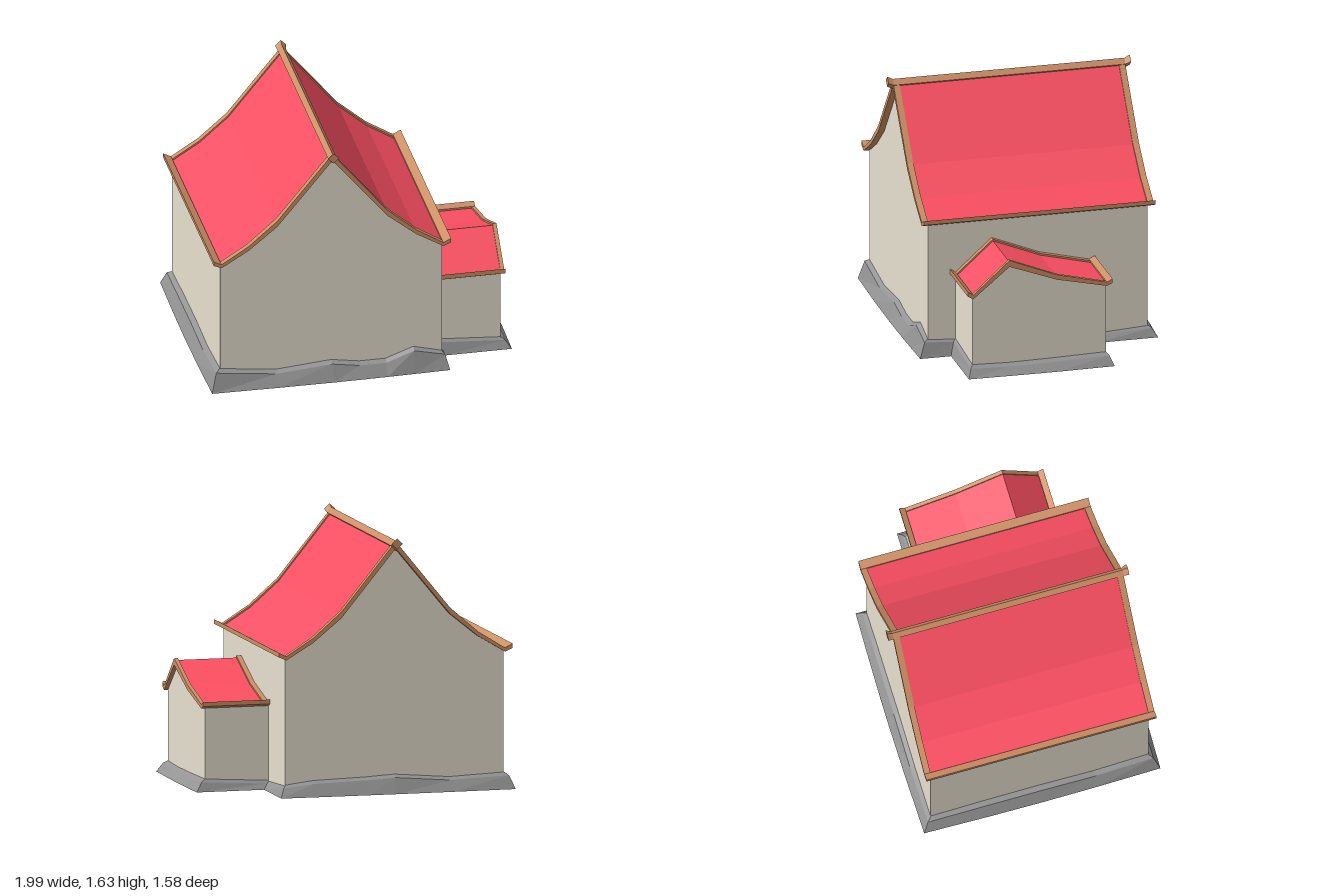
import * as THREE from 'three';

const mat = (color) => new THREE.MeshStandardMaterial({ color, flatShading: true });
const WALL = mat(0xe8e1d0), ROOF = mat(0xff5063), TRIM = mat(0xcd9066), STONE = mat(0x949494);

function add(parent, name, geometry, material) {
  const mesh = new THREE.Mesh(geometry, material);
  mesh.name = name;
  parent.add(mesh);
}

// Extrudes an outline of [u, y] points from w0 to w1 along local z
function prism(points, w0, w1) {
  const shape = new THREE.Shape(points.map(([u, y]) => new THREE.Vector2(u, y)));
  const g = new THREE.ExtrudeGeometry(shape, { depth: w1 - w0, bevelEnabled: false });
  return g.translate(0, 0, w0);
}

// Band between two polylines that run in the same direction
const band = (lower, upper) => [...lower, ...[...upper].reverse()];

// Mesh of rings lofted in order; every ring holds equally many [x, y, z] points
function loft(rings, caps) {
  const n = rings[0].length, index = [];
  for (let r = 0; r < rings.length - 1; r++)
    for (let i = 0; i < n; i++) {
      const a = r * n + i, b = r * n + (i + 1) % n;
      index.push(a, b, b + n, a, b + n, a + n);
    }
  index.push(...caps);
  const g = new THREE.BufferGeometry();
  g.setAttribute('position', new THREE.Float32BufferAttribute(rings.flat(2), 3));
  g.setIndex(index);
  const flat = g.toNonIndexed();
  flat.computeVertexNormals();
  return flat;
}

// House block: walls, sunken roof covering, verge boards and upturned eaves.
// profile rows are [u, underside y, top y]; verges are [w0, w1] ranges.
function block(name, profile, walls, verges) {
  const group = new THREE.Group();
  group.name = name;
  const low = profile.map(([u, y]) => [u, y]);
  const high = profile.map(([u, , y]) => [u, y]);
  const lowIn = low.slice(1, -1);
  const cover = high.slice(1, -1).map(([u, y]) => [u, y - 0.012]);
  const [uA, uB] = [lowIn[0][0], lowIn.at(-1)[0]];
  add(group, 'walls', prism([[uA, 0.02], [uB, 0.02], ...[...lowIn].reverse()], ...walls), WALL);
  const [r0, r1] = [verges[0][1], verges[1][0]];
  add(group, 'roofCovering', prism(band(lowIn, cover), r0, r1), ROOF);
  verges.forEach((v) => add(group, 'vergeBoard', prism(band(low, high), ...v), TRIM));
  add(group, 'eave', prism(band(low.slice(0, 2), high.slice(0, 2)), r0, r1), TRIM);
  add(group, 'eave', prism(band(low.slice(-2), high.slice(-2)), r0, r1), TRIM);
  return group;
}

// Ridge beam: diamond section with upswept ends
function ridgeBeam() {
  const ring = (z, half, y0, y1) => {
    const m = (y0 + y1) / 2;
    return [[0, y0, z], [half, m, z], [0, y1, z], [-half, m, z]]
      .map(([x, y, d]) => [x - 0.21, y, d]);
  };
  const rings = [
    ring(-0.79, 0.036, 1.56, 1.628), ring(-0.755, 0.028, 1.545, 1.61),
    ring(0.755, 0.028, 1.545, 1.61), ring(0.79, 0.036, 1.56, 1.628),
  ];
  return loft(rings, [0, 2, 1, 0, 3, 2, 12, 13, 14, 12, 14, 15]);
}

// Uneven stone footing that follows the walls and flares out to the ground
function footing() {
  // [x, z, height] along the wall line, counter-clockwise seen from above
  const line = [
    [-0.93, 0.715, 0.145], [-0.57, 0.715, 0.1], [-0.21, 0.715, 0.13], [-0.03, 0.715, 0.1],
    [0.14, 0.715, 0.1], [0.32, 0.715, 0.165], [0.5, 0.715, 0.118],
    [0.5, 0.535, 0.105], [0.92, 0.535, 0.075], [0.92, 0.3, 0.068], [0.92, 0, 0.072],
    [0.92, -0.335, 0.08], [0.5, -0.335, 0.055],
    [0.5, -0.715, 0.078], [0.32, -0.715, 0.1], [-0.03, -0.715, 0.11], [-0.21, -0.715, 0.12],
    [-0.57, -0.715, 0.09], [-0.93, -0.715, 0.105],
    [-0.93, -0.35, 0.12], [-0.93, 0, 0.125], [-0.93, 0.35, 0.115],
  ];
  const spread = (x, z) => {
    const bow = 0.012 * (1 - ((x + 0.21) / 0.72) ** 2);
    const dx = x === -0.93 ? -0.07 + 0.01 * (z / 0.715) ** 2
      : x === 0.92 ? 0.075 - 0.01 * Math.abs(z - 0.1) / 0.435
        : x === 0.5 ? 0.045 : 0;
    const dz = Math.abs(z) !== 0.715 || (x === -0.93 && Math.abs(z) < 0.7)
      ? (x === -0.93 ? 0 : z === 0.535 ? 0.04 : z === -0.335 ? -0.04 : 0)
      : Math.sign(z) * (0.06 + bow);
    return [dx, dz];
  };
  const ring = (k, yOf) => line.map(([x, z, h]) => {
    const [dx, dz] = spread(x, z);
    return [x + k * dx, yOf(h), z + k * dz];
  });
  const ground = ring(1, () => 0);
  const faces = THREE.ShapeUtils.triangulateShape(ground.map((p) => new THREE.Vector2(p[0], -p[2])), []);
  const caps = faces.flatMap(([a, b, c]) => [a, c, b]);
  return loft([ground, ring(0.42, (h) => h - 0.02), ring(-0.05, (h) => h)], caps);
}

export function createModel() {
  const model = new THREE.Group();
  model.name = 'house';

  // Main house, gable facing front
  const half = [[0.355, 1.13, 1.17], [0.54, 0.98, 1.01], [0.715, 0.875, 0.9], [0.765, 0.897, 0.925]];
  const side = (s) => half.map(([u, a, b]) => [-0.21 + s * u, a, b]);
  const mainProfile = [...side(-1).reverse(), [-0.21, 1.56, 1.605], ...side(1)];
  const main = block('mainHouse', mainProfile, [-0.715, 0.715], [[-0.755, -0.715], [0.715, 0.755]]);
  add(main, 'ridgeBeam', ridgeBeam(), TRIM);
  model.add(main);

  // Side annex: its profile runs along z and its length along x
  const annexProfile = [
    [-0.372, 0.545, 0.572], [-0.335, 0.528, 0.553], [-0.01, 0.6, 0.632],
    [0.3, 0.715, 0.757], [0.535, 0.52, 0.547], [0.572, 0.54, 0.572],
  ];
  const annex = block('annex', annexProfile, [-0.92, -0.49], [[-0.945, -0.92], [-0.538, -0.5]]);
  annex.rotation.y = -Math.PI / 2;
  model.add(annex);

  add(model, 'stoneFooting', footing(), STONE);
  return model;
}
